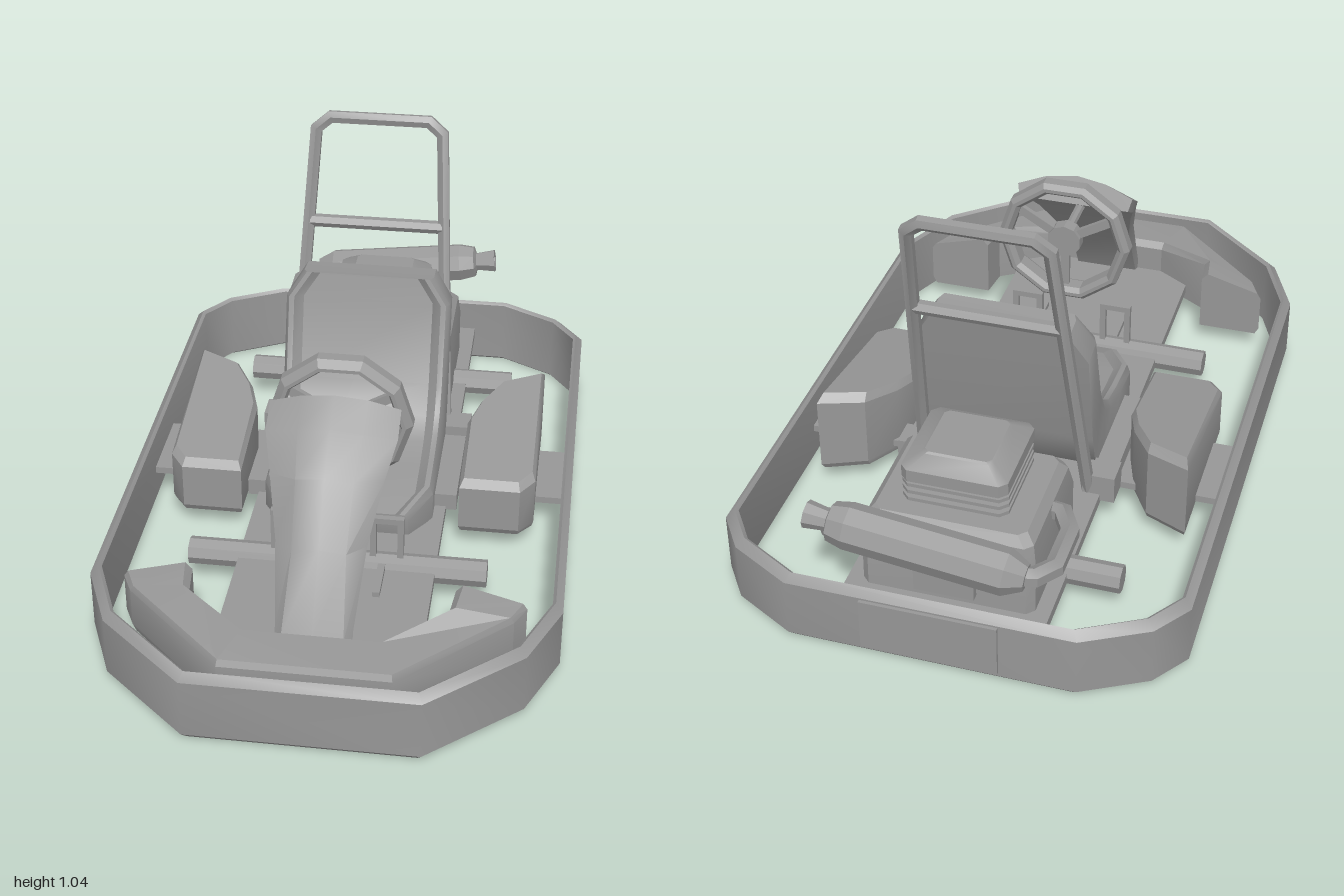
import * as THREE from 'three';
import { toCreasedNormals } from 'three/addons/utils/BufferGeometryUtils.js';

const grey = new THREE.MeshStandardMaterial({ color: 0x979797 });
grey.name = 'plain grey';

// Skin a list of equal-length cross-sections; faces are turned outward by signed volume.
function loft(sections, { ring = false, crease = 0.45 } = {}) {
  const n = sections[0].length, m = sections.length, tris = [];
  for (let i = 0; i < (ring ? m : m - 1); i++) {
    const a = sections[i], b = sections[(i + 1) % m];
    for (let j = 0; j < n; j++) {
      const k = (j + 1) % n;
      tris.push([a[j], a[k], b[k]], [a[j], b[k], b[j]]);
    }
  }
  // End caps are strips between opposite points of the section
  const cap = (s) => {
    for (let j = 0, k = n - 1; j + 1 < k; j++, k--) {
      tris.push([s[j], s[k], s[j + 1]]);
      if (j + 1 < k - 1) tris.push([s[j + 1], s[k], s[k - 1]]);
    }
  };
  if (!ring) {
    cap(sections[0]);
    cap([...sections[m - 1]].reverse());
  }
  const v = (p) => new THREE.Vector3(...p);
  const volume = tris.reduce((t, [a, b, c]) => t + v(a).dot(v(b).cross(v(c))), 0);
  const points = tris.flatMap((t) => (volume < 0 ? [t[0], t[2], t[1]] : t)).flat();
  const g = new THREE.BufferGeometry();
  g.setAttribute('position', new THREE.Float32BufferAttribute(points, 3));
  return toCreasedNormals(g, crease);
}

// Mitred tube along a bent path lying roughly square to the given normal
function tube(points, r, normal, sides = 6) {
  const p = points.map((q) => new THREE.Vector3(...q));
  const N = new THREE.Vector3(...normal).normalize();
  return loft(p.map((q, i) => {
    const before = q.clone().sub(p[Math.max(i - 1, 0)]).normalize();
    const after = p[Math.min(i + 1, p.length - 1)].clone().sub(q).normalize();
    const T = before.clone().add(after).normalize();
    const S = N.clone().cross(T).normalize().multiplyScalar(1 / Math.max(T.dot(before), T.dot(after)));
    return Array.from({ length: sides }, (_, j) => {
      const a = ((j + 0.5) / sides) * Math.PI * 2;
      return q.clone().addScaledVector(S, r * Math.cos(a)).addScaledVector(N, r * Math.sin(a)).toArray();
    });
  }));
}

const mirrorX = (pts) => [...pts, ...pts.map(([x, z]) => [-x, z]).reverse()];

export function createModel() {
  const kart = new THREE.Group();
  kart.name = 'goKart';
  const add = (name, geometry, parent = kart) => {
    const mesh = new THREE.Mesh(geometry, grey);
    mesh.name = name;
    parent.add(mesh);
    return mesh;
  };
  const box = (name, x0, x1, y0, y1, z0, z1) => {
    const g = new THREE.BoxGeometry(x1 - x0, y1 - y0, z1 - z0);
    return add(name, g.translate((x0 + x1) / 2, (y0 + y1) / 2, (z0 + z1) / 2));
  };
  const rod = (name, r, length, axis, x, y, z, sides = 8) => {
    const g = new THREE.CylinderGeometry(r, r, length, sides);
    if (axis === 'x') g.rotateZ(Math.PI / 2); else g.rotateX(Math.PI / 2);
    return add(name, toCreasedNormals(g, 0.45).translate(x, y, z));
  };

  // Bumper ring with chamfered outer edges
  const outline = mirrorX([[0.38, -0.99], [0.55, -0.9], [0.622, -0.8], [0.622, 0.6], [0.54, 0.79], [0.3, 1]]);
  const inset = ([x, z], d) => [x * (1 - d / 0.622), z * (1 - d)];
  add('bumper', loft(outline.map((p) => [[0.028, 0.008], [0.02, 0], [0, 0.022], [0, 0.188], [0.02, 0.21], [0.028, 0.202]]
    .map(([d, y]) => { const [x, z] = inset(p, d); return [x, y, z]; })), { ring: true, crease: 0.73 }));
  box('rearPlate', -0.18, 0.18, 0.035, 0.183, -0.999, -0.98);

  // Chassis
  box('floorPan', -0.27, 0.27, 0.08, 0.11, -0.97, 0.8);
  box('frontTongue', -0.2, 0.2, 0.08, 0.11, 0.78, 0.98);
  for (const [name, z] of [['frontAxle', 0.345], ['rearAxle', -0.645]]) rod(name, 0.038, 0.82, 'x', 0, 0.1, z);

  // Front fender swept around the nose: outer x, z, inner x, z, inner height
  const half = [[0.53, 0.6, 0.345, 0.6, 0.25], [0.5, 0.66, 0.335, 0.69, 0.245], [0.22, 0.93, 0.175, 0.79, 0.21]];
  const fender = [...half, ...half.map(([a, b, c, d, h]) => [-a, b, -c, d, h]).reverse()];
  add('frontFender', loft(fender.map(([xo, zo, xi, zi, h]) => [[0.06, 0.06], [0, 0.08], [0, 0.19], [0.06, 0.207], [0.9, h], [1, h - 0.02], [1, 0.06]]
    .map(([t, y]) => [xo + (xi - xo) * t, y, zo + (zi - zo) * t]))));

  // Steering fairing: front panel narrower than its flared sides
  const fairing = [ // front y, front z, panel half width, back y, back z, back half width
    [0.1, 0.84, 0.08, 0.1, 0.78, 0.1], [0.2, 0.8, 0.08, 0.2, 0.725, 0.1],
    [0.38, 0.675, 0.07, 0.36, 0.59, 0.118], [0.525, 0.57, 0.075, 0.48, 0.485, 0.148],
    [0.605, 0.465, 0.085, 0.545, 0.415, 0.172], [0.66, 0.385, 0.09, 0.585, 0.35, 0.172]];
  add('steeringFairing', loft(fairing.map(([fy, fz, w, by, bz, bw]) => {
    const my = (fy * 0.45 + by * 0.55), mz = (fz * 0.45 + bz * 0.55);
    return [[-w, fy - 0.012, fz - 0.006], [0, fy, fz], [w, fy - 0.012, fz - 0.006], [bw, my, mz], [bw * 0.95, by, bz],
      [-bw * 0.95, by, bz], [-bw, my, mz]];
  })));

  // Steering wheel: ten-sided rim, three spokes, hub and column
  const wheel = new THREE.Group();
  wheel.name = 'steeringWheel';
  wheel.position.set(0, 0.517, 0.268);
  kart.add(wheel);
  const rimProfile = [[0.16, -0.02], [0.172, -0.034], [0.183, -0.034], [0.196, -0.02], [0.196, 0.012], [0.178, 0.034], [0.168, 0.034], [0.16, 0.02]];
  add('wheelRim', loft(Array.from({ length: 10 }, (_, i) => {
    const a = (i * Math.PI) / 5;
    return rimProfile.map(([r, z]) => [r * Math.cos(a), r * Math.sin(a), z]);
  }), { ring: true }), wheel);
  for (const a of [Math.PI / 2 * 3, Math.PI / 6, Math.PI / 6 * 5]) {
    add('spoke', new THREE.BoxGeometry(0.15, 0.026, 0.015).translate(0.09, 0, 0).rotateZ(a), wheel);
  }
  rod('hub', 0.05, 0.04, 'z', 0, 0.517, 0.268, 10);
  rod('steeringColumn', 0.014, 0.2, 'z', 0, 0.53, 0.37);

  // Bucket seat with a raised rim and cut corners
  const seat = [ // front z, y; back z, y; half width; rim offset z, y
    [0.225, 0.165, 0.205, 0.09, 0.18, 0, 0.02], [0.12, 0.19, 0.12, 0.09, 0.238, 0, 0.025],
    [0, 0.2, -0.1, 0.09, 0.238, 0, 0.025], [-0.1, 0.22, -0.2, 0.1, 0.238, 0.005, 0.025],
    [-0.17, 0.262, -0.27, 0.15, 0.238, 0.015, 0.02], [-0.22, 0.34, -0.305, 0.26, 0.238, 0.02, 0.008],
    [-0.29, 0.57, -0.365, 0.555, 0.238, 0.02, 0.005], [-0.308, 0.645, -0.38, 0.636, 0.188, 0.02, 0.004]];
  add('seat', loft(seat.map(([fz, fy, bz, by, w, rz, ry]) => [
    [-w, by, bz], [-w, fy, fz], [-w + 0.01, fy + ry, fz + rz], [-w + 0.025, fy + ry, fz + rz], [-w + 0.05, fy, fz],
    [w - 0.05, fy, fz], [w - 0.025, fy + ry, fz + rz], [w - 0.01, fy + ry, fz + rz], [w, fy, fz], [w, by, bz]]), { crease: 0.65 }));

  // Roll bar hoop and crossbar
  const leg = [[0.234, 0.1, -0.325], [0.184, 0.99, -0.537], [0.143, 1.024, -0.546]];
  add('rollBar', tube([...leg, ...leg.map(([x, y, z]) => [-x, y, z]).reverse()], 0.019, [0, 0.212, 0.89]));
  rod('rollBarCrossbar', 0.019, 0.39, 'x', 0, 0.724, -0.473, 6);

  // Parts repeated on both sides
  const podOutline = [[0.52, -0.4], [0.4, -0.348], [0.34, -0.25], [0.31, -0.16], [0.31, 0.11], [0.48, 0.11], [0.52, 0.06]];
  for (const s of [1, -1]) {
    const podTop = (z) => 0.312 - 0.16 * (z + 0.4);
    const ringAt = (k, y) => podOutline.map(([x, z]) => [s * (0.42 + (x - 0.42) * k), y(z), -0.12 + (z + 0.12) * k]);
    add('sidePod', loft([ringAt(0.95, () => 0.06), ringAt(1, () => 0.08), ringAt(1, (z) => podTop(z) - 0.02), ringAt(0.9, podTop)]));
    const span = (a, b) => (s > 0 ? [a, b] : [-b, -a]);
    box('podBracket', ...span(0.26, 0.605), 0.085, 0.105, -0.27, -0.03);
    box('seatRail', ...span(0.23, 0.3), 0.1, 0.15, -0.25, 0.06);
    box('rollBarFoot', ...span(0.22, 0.31), 0.09, 0.17, -0.345, -0.265);
    // Pedal: an open frame on an arm
    box('pedalArm', ...span(0.115, 0.135), 0.105, 0.125, 0.34, 0.5);
    for (const x of [0.09, 0.165]) box('pedalPost', ...span(x, x + 0.017), 0.11, 0.26, 0.336, 0.354);
    box('pedalBar', ...span(0.09, 0.182), 0.243, 0.26, 0.336, 0.354);
  }

  // Engine: chamfered stacks of rectangular rings
  const stack = (name, layers) => add(name, loft(layers.map(([y, x, z0, z1, c]) => [
    [x, z0 + c], [x - c, z0], [c - x, z0], [-x, z0 + c], [-x, z1 - c], [c - x, z1], [x - c, z1], [x, z1 - c]]
    .map(([px, pz]) => [px, y, pz]))));
  stack('engineBlock', [[0.1, 0.23, -0.85, -0.455, 0.02], [0.25, 0.23, -0.845, -0.455, 0.02], [0.31, 0.222, -0.835, -0.475, 0.02], [0.335, 0.2, -0.815, -0.49, 0.02]]);
  stack('engineNeck', [[0.32, 0.11, -0.75, -0.54, 0.02], [0.42, 0.11, -0.75, -0.54, 0.02]]);
  for (const y of [0.345, 0.368, 0.39]) stack('coolingFin', [[y, 0.14, -0.775, -0.515, 0.02], [y + 0.01, 0.14, -0.775, -0.515, 0.02]]);
  stack('airCap', [[0.41, 0.14, -0.78, -0.51, 0.02], [0.445, 0.14, -0.78, -0.51, 0.02], [0.475, 0.095, -0.74, -0.555, 0.012], [0.48, 0.088, -0.735, -0.56, 0.012]]);
  box('engineRearCover', -0.08, 0.08, 0.14, 0.28, -0.87, -0.84);

  // Exhaust: turned silencer lying across the back, and its bent pipe
  const silencer = [[0, -0.26], [0.035, -0.26], [0.06, -0.21], [0.06, 0.2], [0.05, 0.245], [0.028, 0.252], [0.036, 0.31], [0.024, 0.31], [0.02, 0.27], [0, 0.27]]
    .map(([r, h]) => new THREE.Vector2(r, h));
  const can = add('silencer', toCreasedNormals(new THREE.LatheGeometry(silencer, 8), 0.2));
  can.rotation.set(0, 0, -Math.PI / 2 + 0.12);
  can.position.set(0.02, 0.345, -0.935);
  add('exhaustPipe', tube([[-0.2, 0.315, -0.94], [-0.255, 0.312, -0.925], [-0.291, 0.305, -0.87], [-0.291, 0.3, -0.73], [-0.25, 0.29, -0.65], [-0.19, 0.28, -0.63]], 0.026, [0, 1, 0]));
  return kart;
}
